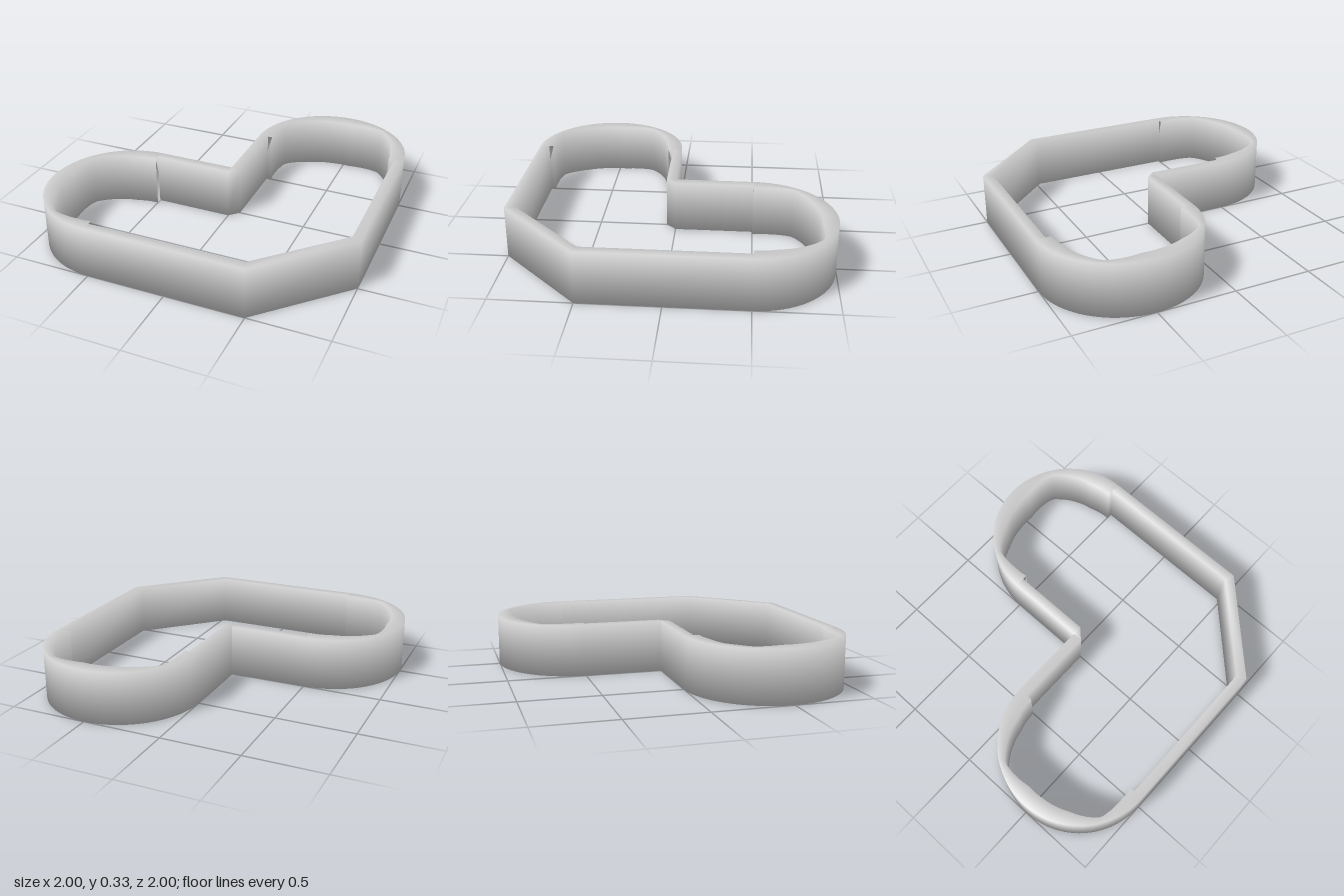
import * as THREE from 'three';

const H = 0.33;      // wall height
const T = 0.06;      // straight wall thickness
const R = 0.5;       // lobe radius
const LEAN = 0.4;    // sideways share of the softened edge normals

const material = new THREE.MeshStandardMaterial({ color: 0xcccccc });

// Solid wall lofted through [outer, inner] point pairs (x, z); outer lies right of travel.
function wall(name, sections) {
  const pos = [], nor = [], idx = [];
  for (const [o, i] of sections) {
    const d = new THREE.Vector2(o[0] - i[0], o[1] - i[1]).normalize();
    // ring order: outer bottom, outer top, inner top, inner bottom
    for (const [p, y, side] of [[o, 0, 1], [o, H, 1], [i, H, -1], [i, 0, -1]]) {
      pos.push(p[0], y, p[1]);
      const n = new THREE.Vector3(d.x * side * LEAN, y ? 1 : -1, d.y * side * LEAN).normalize();
      nor.push(n.x, n.y, n.z);
    }
  }
  const last = (sections.length - 1) * 4;
  for (let s = 0; s < last; s += 4) {
    for (let k = 0; k < 4; k++) {
      const a = s + k, b = s + (k + 1) % 4;
      idx.push(a, a + 4, b + 4, a, b + 4, b);
    }
  }
  // end caps
  idx.push(0, 1, 2, 0, 2, 3, last, last + 2, last + 1, last, last + 3, last + 2);

  const g = new THREE.BufferGeometry();
  g.setAttribute('position', new THREE.Float32BufferAttribute(pos, 3));
  g.setAttribute('normal', new THREE.Float32BufferAttribute(nor, 3));
  g.setIndex(idx);
  const mesh = new THREE.Mesh(g, material);
  mesh.name = name;
  return mesh;
}

// Inner radius of a lobe by angle in degrees: the wall swells and thins along the arc.
const INNER = [[0, 0.405], [20, 0.407], [57, 0.465], [83, 0.403], [100, 0.403],
  [123, 0.42], [147, 0.468], [166, 0.427], [180, 0.41]];

function innerRadius(deg) {
  const k = Math.max(1, INNER.findIndex(([a]) => a >= deg));
  const [a0, r0] = INNER[k - 1], [a1, r1] = INNER[k];
  return THREE.MathUtils.mapLinear(deg, a0, a1, r0, r1);
}

// Half-round wall centred on its own origin
function lobe(name) {
  const sections = [];
  for (let deg = 0; deg <= 180; deg += 4) {
    const a = THREE.MathUtils.degToRad(deg);
    const at = (r) => [r * Math.cos(a), -r * Math.sin(a)];
    sections.push([at(R), at(innerRadius(deg))]);
  }
  return wall(name, sections);
}

export function createModel() {
  const group = new THREE.Group();
  group.name = 'heartCutter';

  // Two straight sides joined by the blunt tip
  const m = T * Math.tan(Math.PI / 8);
  group.add(wall('tipWall', [
    [[-0.5, 1], [-0.5, 1 - T]],
    [[0.5, 1], [0.5 - m, 1 - T]],
    [[1, 0.5], [1 - T, 0.5 - m]],
    [[1, -0.5], [1 - T, -0.5]],
  ]));

  // Cleft between the lobes, bevelled on its inner corner
  group.add(wall('cleftWall', [
    [[0, -0.5], [T, -0.5]],
    [[0, 0], [T, 0]],
    [[0, 0], [0, T]],
    [[-0.5, 0], [-0.5, T]],
  ]));

  // Rounded lobes, the second one turned a quarter
  const backLobe = lobe('backLobe');
  backLobe.position.set(0.5, 0, -0.5);
  const sideLobe = lobe('sideLobe');
  sideLobe.position.set(-0.5, 0, 0.5);
  sideLobe.rotation.y = Math.PI / 2;
  group.add(backLobe, sideLobe);

  return group;
}
